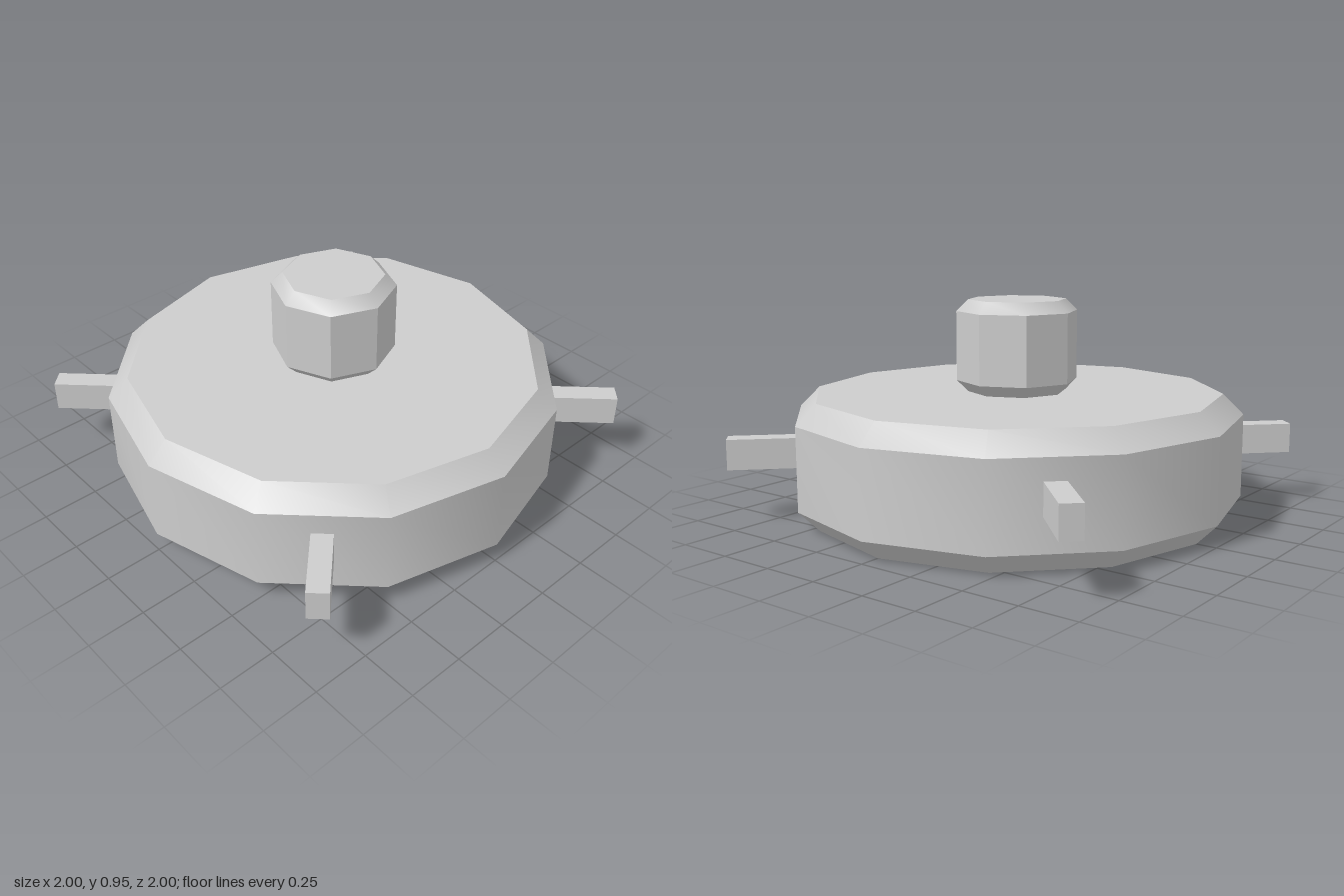
import * as THREE from 'three';
import { toCreasedNormals } from 'three/addons/utils/BufferGeometryUtils.js';

const grey = new THREE.MeshStandardMaterial({ color: 0xcccccc });
grey.name = 'plain grey';

// Bevelled prism standing between y0 and y1; only edges sharper than 35 degrees stay creased
function bevelledPrism(name, radius, bevel, y0, y1, sides) {
  const profile = [
    [0, y0], [radius - bevel, y0], [radius, y0 + bevel],
    [radius, y1 - bevel], [radius - bevel, y1], [0, y1],
  ].map(([r, y]) => new THREE.Vector2(r, y));
  const geometry = new THREE.LatheGeometry(profile, sides);
  const mesh = new THREE.Mesh(toCreasedNormals(geometry, THREE.MathUtils.degToRad(35)), grey);
  mesh.name = name;
  return mesh;
}

export function createModel() {
  const model = new THREE.Group();
  model.name = 'studded disc';

  // Twelve-sided body and eight-sided knob
  model.add(bevelledPrism('body', 1, 0.09, 0, 0.547, 12));
  model.add(bevelledPrism('knob', 0.27, 0.051, 0.547, 0.955, 8));

  // Four pegs sticking out on the diagonals
  const inner = 0.9, outer = 1.273;
  for (let i = 0; i < 4; i++) {
    const geometry = new THREE.BoxGeometry(outer - inner, 0.134, 0.09);
    geometry.translate((inner + outer) / 2, 0.299, 0);
    const peg = new THREE.Mesh(geometry, grey);
    peg.rotation.y = Math.PI / 4 + i * Math.PI / 2;
    peg.name = 'peg' + (i + 1);
    model.add(peg);
  }
  return model;
}
